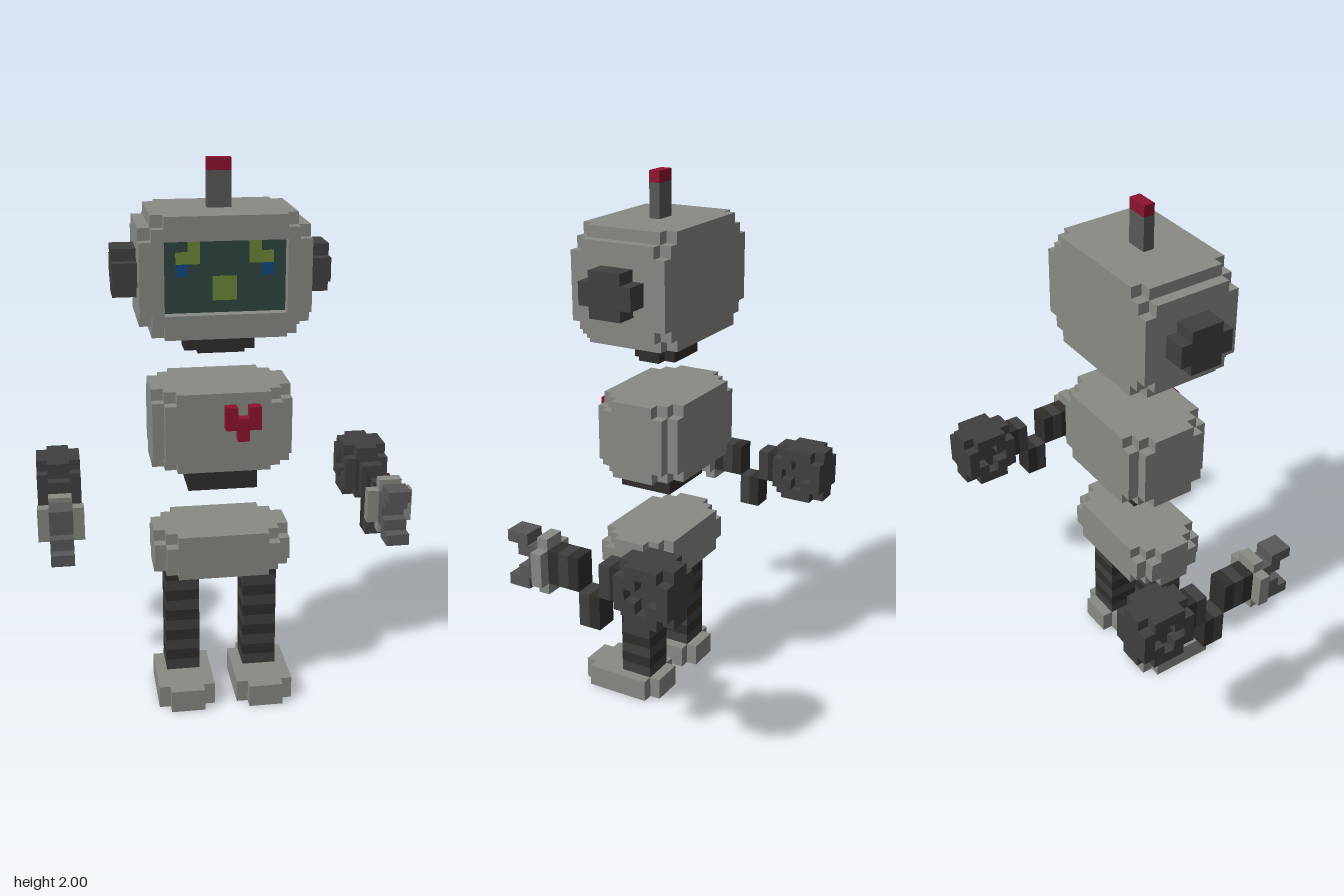
import * as THREE from 'three';

const V = 1 / 24; // one cube of the grid
const paint = (color) => new THREE.MeshStandardMaterial({ color });
const GREY = paint(0x888a84), MID = paint(0x585858), DARK = paint(0x404040), BLACK = paint(0x302e2b);
const RED = paint(0x8e1230), GLASS = paint(0x2f443f), GREEN = paint(0x6c8736), BLUE = paint(0x124a80);

// Rectangle outline whose corners are cut back in a staircase of n steps
function steppedPoints(w, h, n) {
  const pts = [];
  [[1, 1], [-1, 1], [-1, -1], [1, -1]].forEach(([sx, sy], i) => {
    const corner = [];
    for (let k = 0; k <= n; k++) {
      corner.push(new THREE.Vector2(sx * (w / 2 - k), sy * (h / 2 - n + k)));
      if (k < n) corner.push(new THREE.Vector2(sx * (w / 2 - k - 1), sy * (h / 2 - n + k)));
    }
    pts.push(...(i % 2 ? corner.reverse() : corner));
  });
  return pts;
}

// Plain box between grid bounds
function box(parent, name, mat, [x0, x1], [y0, y1], [z0, z1]) {
  const mesh = new THREE.Mesh(new THREE.BoxGeometry(x1 - x0, y1 - y0, z1 - z0), mat);
  mesh.position.set((x0 + x1) / 2, (y0 + y1) / 2, (z0 + z1) / 2);
  mesh.name = name;
  parent.add(mesh);
}

// Box with stepped corners, extruded along one axis, with an optional hole [w, h, steps]
function block(parent, name, mat, xs, ys, zs, axis, cut, hole) {
  const [w, h, d] = [xs, ys, zs].map(([a, b]) => b - a);
  const [sw, sh, depth] = { x: [d, h, w], y: [w, d, h], z: [w, h, d] }[axis];
  const shape = new THREE.Shape(steppedPoints(sw, sh, cut));
  if (hole) {
    const pts = hole[2] ? steppedPoints(...hole)
      : [[1, 1], [-1, 1], [-1, -1], [1, -1]].map(([a, b]) => new THREE.Vector2(a * hole[0] / 2, b * hole[1] / 2));
    shape.holes.push(new THREE.Path(pts));
  }
  const geo = new THREE.ExtrudeGeometry(shape, { depth, bevelEnabled: false });
  geo.translate(0, 0, -depth / 2);
  if (axis === 'x') geo.rotateY(Math.PI / 2);
  if (axis === 'y') geo.rotateX(-Math.PI / 2);
  const mesh = new THREE.Mesh(geo, mat);
  mesh.position.set((xs[0] + xs[1]) / 2, (ys[0] + ys[1]) / 2, (zs[0] + zs[1]) / 2);
  mesh.name = name;
  parent.add(mesh);
}

function part(parent, name) {
  const g = new THREE.Group();
  g.name = name;
  parent.add(g);
  return g;
}

// Rounded body section: full middle, smaller first and last layers along y
function roundedSection(parent, name, xs, [y0, y1], zs) {
  const g = part(parent, name);
  block(g, name + 'Core', GREY, xs, [y0 + 1, y1 - 1], zs, 'y', 1);
  block(g, name + 'Bottom', GREY, xs, [y0, y0 + 1], zs, 'y', 2);
  block(g, name + 'Top', GREY, xs, [y1 - 1, y1], zs, 'y', 2);
}

function buildHead(parent) {
  const head = part(parent, 'head');
  block(head, 'headShell', GREY, [-7, 7], [34, 44], [-1, 6], 'z', 1);
  block(head, 'headBack', GREY, [-7, 7], [34, 44], [-2, -1], 'z', 2);
  block(head, 'screenFrame', GREY, [-7, 7], [34, 44], [6, 7], 'z', 2, [10, 6, 0]);
  // Recessed screen with its lit face
  box(head, 'screen', GLASS, [-5, 5], [36, 42], [5.9, 6.02]);
  const lit = [5.9, 6.05];
  for (const s of [-1, 1]) {
    const span = (a, b) => (s > 0 ? [a, b] : [-b, -a]);
    box(head, 'eyeInner', GREEN, span(2, 3), [40, 42], lit);
    box(head, 'eyeOuter', GREEN, span(3, 4), [40, 41], lit);
    box(head, 'tear', BLUE, span(3, 4), [39, 40], lit);
    block(head, 'ear', DARK, span(7, 9), [37, 41], [0, 5], 'x', 1);
  }
  box(head, 'mouth', GREEN, [-1, 1], [37, 39], lit);
  // Antenna
  box(head, 'antenna', MID, [-1, 1], [44, 47], [2, 3]);
  box(head, 'antennaTip', RED, [-1, 1], [47, 48], [2, 3]);
  block(head, 'neck', BLACK, [-3, 3], [32, 34], [0, 4], 'y', 1);
}

function buildTorso(parent) {
  roundedSection(parent, 'torso', [-6, 6], [22, 29], [-2, 6]);
  box(parent, 'waist', BLACK, [-3, 3], [20, 22], [0, 5]);
  const heart = part(parent, 'heart');
  box(heart, 'heartLobe', RED, [0, 1], [26, 28], [6, 7]);
  box(heart, 'heartLobe', RED, [2, 3], [26, 28], [6, 7]);
  box(heart, 'heartCentre', RED, [1, 2], [25, 27], [6, 7]);
}

function buildLeg(parent, x) {
  const leg = part(parent, 'leg');
  for (let y = 2; y < 12; y++) {
    box(leg, 'legRing', y % 2 ? BLACK : DARK, [x - 1.5, x + 1.5], [y, y + 1], [1, 4]);
  }
  block(leg, 'foot', GREY, [x - 2.5, x + 2.5], [0, 2], [0, 8], 'y', 1);
}

function buildArm(parent, x) {
  const arm = part(parent, 'arm');
  // Shoulder with a cross-shaped recess on each side
  box(arm, 'shoulder', DARK, [x - 1, x + 1], [15, 20], [-8, -3]);
  for (const x0 of [x - 2, x + 1]) {
    block(arm, 'shoulderCap', DARK, [x0, x0 + 1], [15, 20], [-8, -3], 'x', 1, [3, 3, 1]);
  }
  // Ringed tube that drops down at the elbow
  for (let z = -3; z < 4; z++) {
    const y = z === -1 || z === 0 ? 13 : 16;
    box(arm, 'armRing', z % 2 ? BLACK : DARK, [x - 1, x + 1], [y, y + 3], [z, z + 1]);
  }
  block(arm, 'cuff', GREY, [x - 2, x + 2], [15, 20], [4, 5], 'z', 1);
  // Open claw, one row at a time
  [[6, 8], [5, 7], [5, 6], [5, 7], [6, 8]].forEach((zs, i) =>
    box(arm, 'claw', MID, [x - 1, x + 1], [15 + i, 16 + i], zs));
}

export function createModel() {
  const model = new THREE.Group();
  model.name = 'robot';
  const body = part(model, 'body');
  body.scale.setScalar(V);
  body.position.x = -V / 2;

  buildHead(body);
  buildTorso(body);
  roundedSection(body, 'hips', [-6, 6], [12, 16], [-1, 6]);
  for (const x of [-3.5, 3.5]) buildLeg(body, x);
  for (const x of [-14, 15]) buildArm(body, x);
  return model;
}
